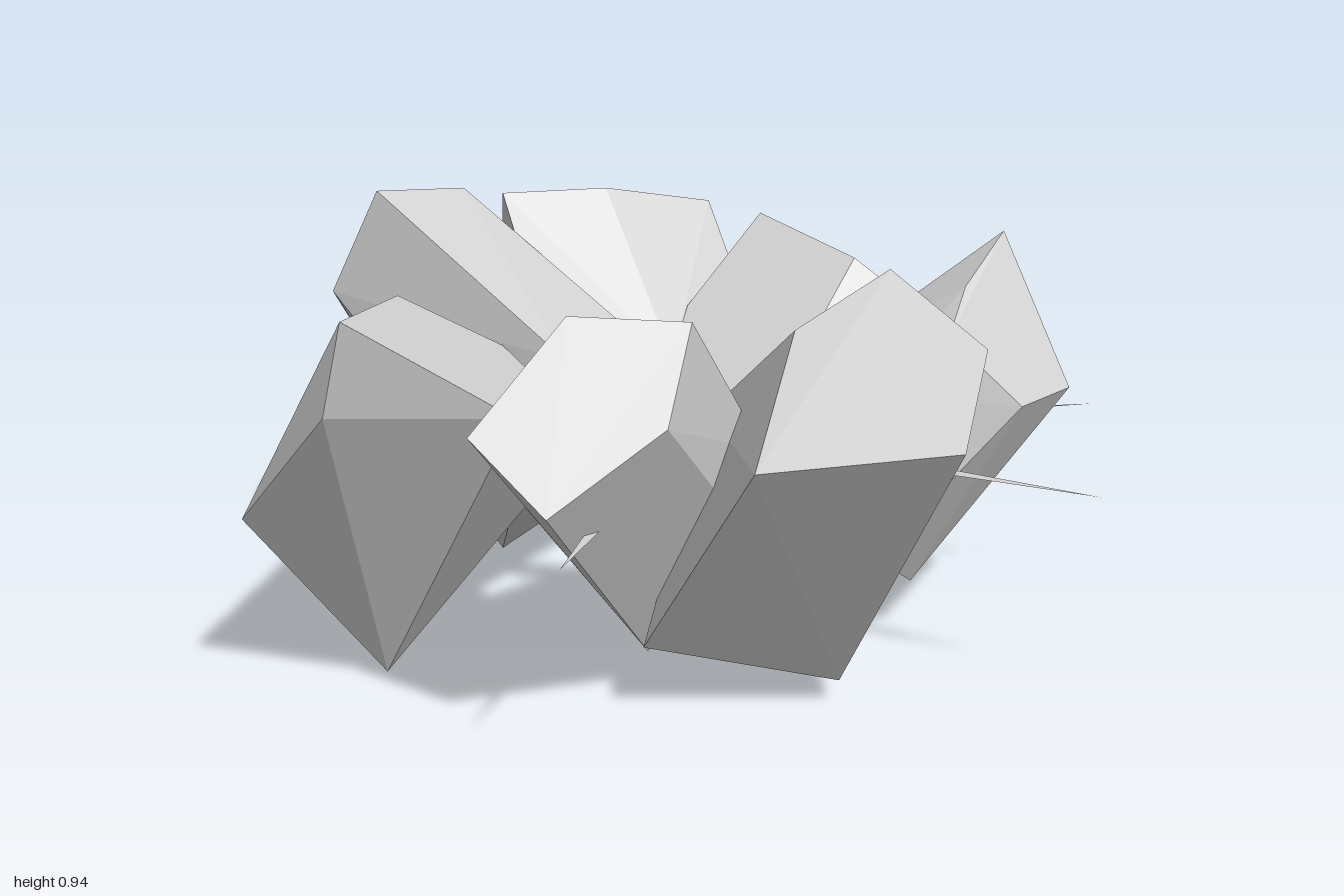
import * as THREE from 'three';
import { ConvexGeometry } from 'three/addons/geometries/ConvexGeometry.js';

// Ring of tilted five-sided boulders: outer cap corners, then inner cap corners.
const BOULDERS = {
  backBoulder: [
    [-.13, .95, -.81], [.16, .91, -.8], [.48, .6, -.88], [.06, .43, -1], [-.18, .7, -.92],
    [-.2, .66, -.17], [.17, .58, -.19], [.38, .2, -.48], [.05, .05, -.6], [-.24, .28, -.31]],
  backLeftBoulder: [
    [.19, .905, -.7], [.39, .905, -.54], [.65, .845, -.42], [.57, .61, -.86], [.35, .715, -.85],
    [.05, .5, -.4], [.245, .556, -.22], [.5, .39, -.07], [.435, .04, -.63], [.2, .15, -.5]],
  leftBoulder: [
    [.65, .835, -.26], [.555, .79, .085], [.59, .68, .255], [.84, .54, .01], [.38, .65, -.28],
    [.17, .5, -.19], [.18, .52, .12], [.43, .3, .29], [.465, .155, .05], [.42, .235, -.16]],
  frontLeftBoulder: [
    [.35, .58, .67], [.56, .575, .67], [.62, .895, .45], [.375, .82, .5], [.215, .75, .56], [.07, .63, .45],
    [.1, .25, .46], [.31, .125, .42], [.28, .35, .2], [.445, .55, .16], [.2, .55, .12]],
  frontBoulder: [
    [-.58, .66, .62], [-.345, .705, .945], [-.115, .845, .85], [-.035, .95, .565], [-.245, .85, .475],
    [-.46, .17, .25], [-.14, .06, .53], [.115, .36, .46], [.2, .56, .105], [0, .54, .07]],
  rightBoulder: [
    [-.85, .705, .125], [-.63, .915, .195], [-.47, .9, .385], [-.58, .71, .41], [-.81, .56, .29],
    [-.42, .35, -.05], [-.035, .58, -.01], [-.12, .53, .31], [-.15, .34, .3], [-.32, .09, .15]],
  backRightBoulder: [
    [-.92, .91, -.14], [-.45, .82, -.44], [-.88, .41, -.5], [-.92, .7, -.2], [-.66, .69, .085],
    [-.2, .665, -.36], [-.31, .56, -.015], [-.25, .35, -.28], [-.605, .005, -.36]],
};

// Tips of the flat shards that radiate from the centre between boulders.
const SHARD_TIPS = [[.15, .98], [.73, .64], [-.86, .365], [-.365, -.62], [.71, -.445], [.86, .16]];

function triangle(a, b, c) {
  const g = new THREE.BufferGeometry();
  g.setAttribute('position', new THREE.Float32BufferAttribute([...a, ...b, ...c], 3));
  g.computeVertexNormals();
  return g;
}

export function createModel() {
  const model = new THREE.Group();
  model.name = 'rockCluster';
  const stone = new THREE.MeshStandardMaterial({ color: 0xd4d4d4, side: THREE.DoubleSide });
  stone.name = 'pale grey stone';
  const add = (name, geometry) => {
    const mesh = new THREE.Mesh(geometry, stone);
    mesh.name = name;
    model.add(mesh);
    return mesh;
  };

  for (const [name, corners] of Object.entries(BOULDERS)) {
    add(name, new ConvexGeometry(corners.map(p => new THREE.Vector3(...p))));
  }

  // Thin horizontal shards, wide at the centre
  SHARD_TIPS.forEach(([x, z], i) => {
    const len = Math.hypot(x, z), w = 0.05;
    const nx = -z / len * w, nz = x / len * w;
    add(`shard${i + 1}`, triangle([nx, .49, nz], [x, .49, z], [-nx, .49, -nz]));
  });
  // Chip standing out of the back left boulder
  add('stoneChip', triangle([.56, .44, -.66], [.56, .32, -.39], [.56, .225, -.46]));

  // Row of small faceted pebbles
  [[.85, .525, .31], [.635, .525, .41], [.53, .525, .53]].forEach((p, i) => {
    const pebble = add(`pebble${i + 1}`, new THREE.IcosahedronGeometry(.088, 0));
    pebble.position.set(...p);
    pebble.scale.set(.95, .78, 1.05);
    pebble.rotation.y = i * 0.9;
  });

  return model;
}
